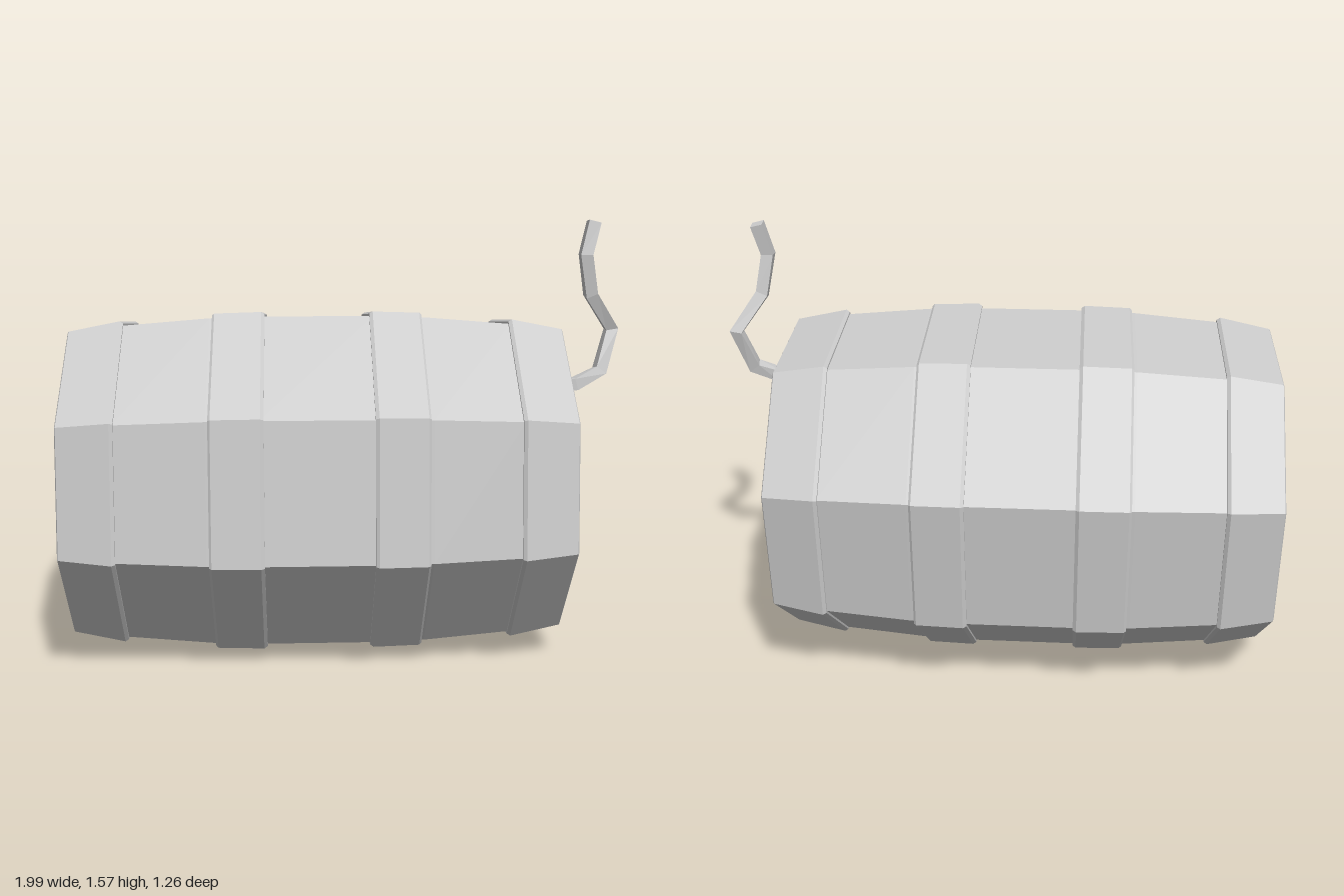
import * as THREE from 'three';

const material = new THREE.MeshStandardMaterial({ color: 0xcccccc, flatShading: true });
const AXIS_Y = 0.633;
const MID_X = -0.112; // middle of the barrel along its axis
const TILT = THREE.MathUtils.degToRad(16);

// Octagonal ring or solid turned round the x axis; profile is [radius, x] from -x to +x
function turned(name, profile) {
  const points = profile.map(([r, x]) => new THREE.Vector2(r, x));
  const mesh = new THREE.Mesh(new THREE.LatheGeometry(points, 8, TILT), material);
  mesh.rotation.z = -Math.PI / 2;
  mesh.position.set(MID_X, AXIS_Y, 0);
  mesh.name = name;
  return mesh;
}

// Mirrors half a profile (from the middle outwards) about x = 0
function mirrored(half) {
  return [...half.map(([r, x]) => [r, -x]).reverse(), ...half];
}

// Square bar swept along a bent path with mitred joints
function bar(path, half) {
  const pts = path.map((p) => new THREE.Vector3(...p));
  const positions = [], index = [];
  pts.forEach((p, i) => {
    const a = pts[Math.max(i - 1, 0)], b = pts[Math.min(i + 1, pts.length - 1)];
    const t = b.clone().sub(a).normalize();
    const u = new THREE.Vector3(0, 0, 1).addScaledVector(t, -t.z).normalize();
    const v = t.clone().cross(u);
    for (const [s, q] of [[-1, -1], [1, -1], [1, 1], [-1, 1]]) {
      const c = p.clone().addScaledVector(u, s * half).addScaledVector(v, q * half);
      positions.push(c.x, c.y, c.z);
    }
    if (i === 0) return;
    for (let k = 0; k < 4; k++) {
      const l = (i - 1) * 4 + k, m = (i - 1) * 4 + (k + 1) % 4;
      index.push(l, m, m + 4, l, m + 4, l + 4);
    }
  });
  const e = (pts.length - 1) * 4;
  index.push(0, 2, 1, 0, 3, 2, e, e + 1, e + 2, e, e + 2, e + 3);
  const geometry = new THREE.BufferGeometry();
  geometry.setAttribute('position', new THREE.Float32BufferAttribute(positions, 3));
  geometry.setIndex(index);
  geometry.computeVertexNormals();
  return geometry;
}

export function createModel() {
  const group = new THREE.Group();
  group.name = 'barrel';

  // Bulging body with a recessed head at each end
  group.add(turned('body', mirrored([
    [0.636, 0.2], [0.63, 0.38], [0.603, 0.69], [0.575, 0.878],
    [0.494, 0.888], [0.484, 0.835], [0, 0.835],
  ])));

  // Two middle hoops and two end hoops
  for (const side of [-1, 1]) {
    const place = (p) => (side > 0 ? p : p.map(([r, x]) => [r, -x]).reverse());
    group.add(turned('middleHoop', place([
      [0.6, 0.185], [0.645, 0.185], [0.653, 0.197], [0.648, 0.362], [0.641, 0.37], [0.6, 0.37],
    ])));
    group.add(turned('endHoop', place([
      [0.57, 0.683], [0.612, 0.683], [0.62, 0.695], [0.582, 0.876], [0.574, 0.88], [0.55, 0.87],
    ])));
  }

  // Tap plate on the +x head
  const plate = new THREE.Mesh(new THREE.CylinderGeometry(0.088, 0.088, 0.085, 8), material);
  plate.name = 'tapPlate';
  plate.rotation.set(0, 0, -Math.PI / 2);
  plate.rotateY(TILT);
  plate.position.set(0.755, 0.995, 0.1);
  group.add(plate);

  // Bent tap handle
  const handle = new THREE.Mesh(bar([
    [0.77, 0.985, 0.11], [0.83, 0.985, 0.108], [0.925, 1.03, 0.083], [0.972, 1.18, 0.042],
    [0.88, 1.31, 0.095], [0.853, 1.455, 0.117], [0.882, 1.57, 0.1],
  ], 0.022), material);
  handle.name = 'tapHandle';
  group.add(handle);

  return group;
}
